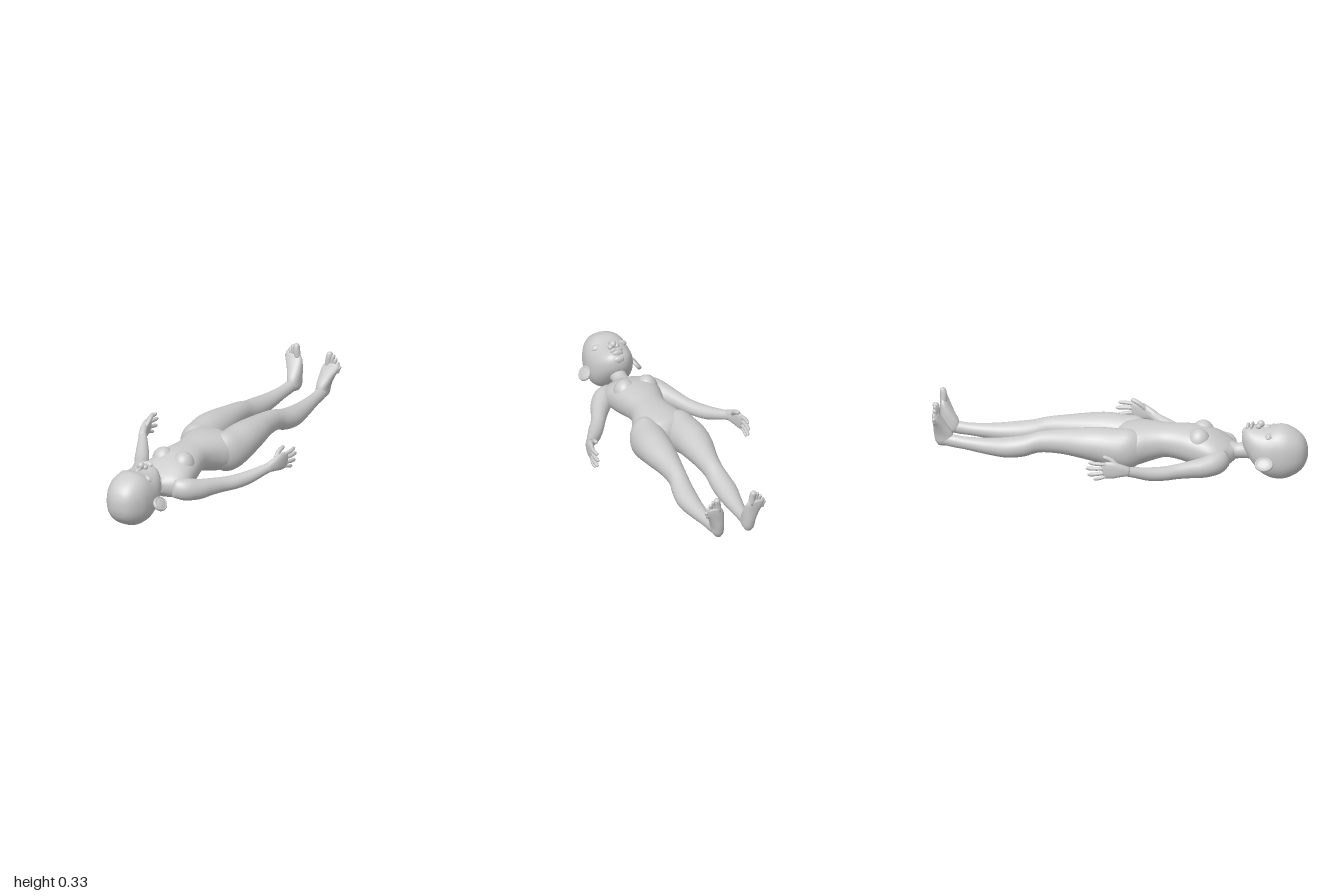
import * as THREE from 'three';

const material = new THREE.MeshStandardMaterial({ color: 0xcccccc });
const Y = new THREE.Vector3(0, 1, 0);
const Z = new THREE.Vector3(0, 0, 1);

// Smooth skin through rings [x, y, z, halfWidth, halfHeight]; n > 2 squares the rings.
// "axis" keeps all rings parallel, otherwise they follow the path.
function loft(rings, { up = Y, axis = null, n = 2, sides = 24, steps = 4, tip = 0.4 } = {}) {
  const path = new THREE.CatmullRomCurve3(rings.map(r => new THREE.Vector3(r[0], r[1], r[2])), false, 'catmullrom');
  const size = new THREE.CatmullRomCurve3(rings.map(r => new THREE.Vector3(r[3], r[4], 0)), false, 'catmullrom');
  const rows = (rings.length - 1) * steps;
  const pos = [], index = [];
  const bend = v => Math.sign(v) * Math.abs(v) ** (2 / n);
  const poles = [];
  for (let i = 0; i <= rows; i++) {
    const c = path.getPoint(i / rows), s = size.getPoint(i / rows);
    const t = axis ? axis.clone() : path.getTangent(i / rows);
    const side = up.clone().cross(t).normalize();
    const v = t.clone().cross(side).normalize();
    const w = Math.max(s.x, 0.002), h = Math.max(s.y, 0.002);
    for (let j = 0; j < sides; j++) {
      const a = (j / sides) * Math.PI * 2;
      const p = c.clone().addScaledVector(side, w * bend(Math.cos(a))).addScaledVector(v, h * bend(Math.sin(a)));
      pos.push(p.x, p.y, p.z);
      if (i < rows) {
        const A = i * sides + j, B = i * sides + (j + 1) % sides;
        index.push(A, B, A + sides, B, B + sides, A + sides);
      }
    }
    if (i === 0) poles.push(c.clone().addScaledVector(t, -tip * Math.min(w, h)));
    if (i === rows) poles.push(c.clone().addScaledVector(t, tip * Math.min(w, h)));
  }
  const start = (rows + 1) * sides;
  poles.forEach(p => pos.push(p.x, p.y, p.z));
  for (let j = 0; j < sides; j++) {
    const k = (j + 1) % sides;
    index.push(start, k, j, start + 1, rows * sides + j, rows * sides + k);
  }
  const g = new THREE.BufferGeometry();
  g.setAttribute('position', new THREE.Float32BufferAttribute(pos, 3));
  g.setIndex(index);
  g.computeVertexNormals();
  return g;
}

const blob = (x, y, z, rx, ry, rz) => new THREE.SphereGeometry(1, 24, 16).scale(rx, ry, rz).translate(x, y, z);

// Tapered finger or toe through three points
function digit(a, b, c, r, up = Y) {
  const mix = (p, q, k) => p.map((v, i) => v + (q[i] - v) * k);
  return loft([[...a, r, r], [...b, r, r], [...mix(b, c, 0.75), r * 0.92, r * 0.92], [...c, r * 0.5, r * 0.5]],
    { up, sides: 12, steps: 3 });
}

function mirrored(geometry) {
  const g = geometry.clone().scale(-1, 1, 1);
  const ix = g.index.array;
  for (let i = 0; i < ix.length; i += 3) [ix[i + 1], ix[i + 2]] = [ix[i + 2], ix[i + 1]];
  g.computeVertexNormals();
  return g;
}

export function createModel() {
  const model = new THREE.Group();
  model.name = 'lyingFigure';
  const add = (name, geometry) => {
    const mesh = new THREE.Mesh(geometry, material);
    mesh.name = name;
    model.add(mesh);
  };
  const pair = (name, geometry) => {
    add(name + 'Left', geometry);
    add(name + 'Right', mirrored(geometry));
  };

  // Head, from chin to crown
  add('head', loft([
    [0, 0.215, 0.65, 0.028, 0.025], [0, 0.213, 0.66, 0.053, 0.05], [0, 0.204, 0.68, 0.077, 0.075],
    [0, 0.184, 0.71, 0.098, 0.098], [0, 0.16, 0.75, 0.114, 0.12], [0, 0.147, 0.8, 0.121, 0.136],
    [0, 0.15, 0.85, 0.12, 0.146], [0, 0.15, 0.9, 0.113, 0.136], [0, 0.15, 0.95, 0.09, 0.107],
    [0, 0.15, 0.98, 0.062, 0.073], [0, 0.15, 0.995, 0.03, 0.035],
  ], { axis: Z, n: 2.35, sides: 36, tip: 0.15 }));

  // Face
  add('noseBridge', blob(0, 0.277, 0.772, 0.013, 0.016, 0.03));
  add('noseTip', blob(0, 0.296, 0.747, 0.018, 0.02, 0.02));
  pair('nostril', blob(0.018, 0.287, 0.738, 0.014, 0.014, 0.015));
  pair('upperLip', blob(0.013, 0.282, 0.7, 0.023, 0.017, 0.009));
  add('lowerLip', blob(0, 0.276, 0.678, 0.029, 0.02, 0.011));
  add('chin', blob(0, 0.247, 0.662, 0.03, 0.022, 0.015));
  pair('eyeball', blob(0.064, 0.255, 0.803, 0.032, 0.018, 0.018));
  pair('eyelid', new THREE.TorusGeometry(1, 0.12, 10, 28).rotateX(Math.PI / 2)
    .scale(0.033, 0.035, 0.02).rotateZ(-0.33).translate(0.064, 0.264, 0.803));

  // Ears, leaning out from the head
  const ear = g => g.rotateZ(0.7).translate(0.143, 0.124, 0.79);
  pair('ear', ear(blob(0, 0, 0, 0.012, 0.038, 0.045)));
  pair('earRim', ear(new THREE.TorusGeometry(1, 0.2, 10, 28).rotateY(Math.PI / 2).scale(0.05, 0.034, 0.042)));

  // Neck and torso
  add('neck', loft([
    [0, 0.15, 0.73, 0.05, 0.055], [0, 0.142, 0.66, 0.043, 0.044],
    [0, 0.135, 0.62, 0.045, 0.043], [0, 0.13, 0.57, 0.075, 0.055],
  ], { axis: Z.clone().negate() }));
  add('torso', loft([
    [0, 0.13, 0.615, 0.045, 0.038], [0, 0.125, 0.592, 0.085, 0.052], [0, 0.125, 0.56, 0.132, 0.072],
    [0, 0.137, 0.5, 0.147, 0.092], [0, 0.15, 0.43, 0.138, 0.1], [0, 0.16, 0.37, 0.127, 0.097],
    [0, 0.167, 0.3, 0.11, 0.09], [0, 0.168, 0.24, 0.104, 0.088], [0, 0.158, 0.17, 0.123, 0.1],
    [0, 0.145, 0.1, 0.154, 0.111], [0, 0.142, 0.04, 0.16, 0.104], [0, 0.145, 0, 0.11, 0.088],
    [0, 0.145, -0.03, 0.04, 0.05],
  ], { axis: Z.clone().negate(), n: 2.2, sides: 36 }));
  pair('breast', blob(0.062, 0.195, 0.425, 0.06, 0.072, 0.062));

  // Legs
  pair('leg', loft([
    [0.09, 0.143, 0.13, 0.045, 0.07], [0.095, 0.14, 0.07, 0.081, 0.106], [0.1, 0.14, 0, 0.096, 0.107],
    [0.106, 0.155, -0.1, 0.094, 0.095], [0.106, 0.16, -0.2, 0.084, 0.08],
    [0.102, 0.158, -0.31, 0.065, 0.066], [0.102, 0.147, -0.42, 0.052, 0.058],
    [0.108, 0.121, -0.5, 0.057, 0.058], [0.112, 0.106, -0.59, 0.058, 0.055],
    [0.106, 0.102, -0.7, 0.046, 0.044], [0.098, 0.107, -0.82, 0.033, 0.034],
    [0.094, 0.113, -0.89, 0.03, 0.034], [0.09, 0.12, -0.95, 0.028, 0.03],
  ], { axis: Z.clone().negate(), sides: 28 }));

  // Feet, pointing up with spread toes
  pair('foot', loft([
    [0.086, 0.085, -0.945, 0.017, 0.025], [0.087, 0.108, -0.938, 0.031, 0.046],
    [0.09, 0.15, -0.942, 0.035, 0.05], [0.1, 0.2, -0.958, 0.043, 0.036],
    [0.115, 0.245, -0.973, 0.05, 0.023], [0.124, 0.272, -0.98, 0.042, 0.015],
  ], { up: Z, axis: Y, n: 2.3 }));
  for (let i = 0; i < 5; i++) {
    const x = [0.106, 0.128, 0.143, 0.156, 0.167][i], y = [0.328, 0.318, 0.3, 0.281, 0.26][i];
    const bx = [0.094, 0.116, 0.13, 0.142, 0.152][i], by = [0.25, 0.258, 0.25, 0.24, 0.225][i];
    pair('toe' + (i + 1), digit([bx, by, -0.977], [(bx + x) / 2, (by + y) / 2 + 0.005, -0.977], [x, y, -0.983],
      i ? 0.0105 : 0.018, Z));
  }

  // Arms
  pair('arm', loft([
    [0.09, 0.12, 0.57, 0.035, 0.05], [0.14, 0.112, 0.535, 0.053, 0.06], [0.182, 0.1, 0.475, 0.052, 0.055],
    [0.215, 0.097, 0.41, 0.043, 0.047], [0.25, 0.093, 0.34, 0.038, 0.04], [0.285, 0.092, 0.28, 0.039, 0.038],
    [0.325, 0.1, 0.21, 0.035, 0.036], [0.366, 0.12, 0.14, 0.027, 0.029], [0.395, 0.135, 0.09, 0.021, 0.026],
    [0.405, 0.14, 0.06, 0.018, 0.026],
  ]));

  // Hands, palms facing inward
  pair('palm', loft([
    [0.388, 0.132, 0.11, 0.02, 0.024], [0.405, 0.14, 0.07, 0.021, 0.035], [0.417, 0.145, 0.03, 0.018, 0.046],
    [0.423, 0.145, -0.008, 0.014, 0.045], [0.425, 0.143, -0.025, 0.01, 0.035],
  ], { n: 2.4 }));
  const fingers = [[0.178, 0.183, -0.098], [0.156, 0.15, -0.112], [0.133, 0.114, -0.103], [0.112, 0.09, -0.07]];
  fingers.forEach(([y, tipY, tipZ], i) => pair('finger' + (i + 1), digit(
    [0.422, y, 0], [0.432, (y + tipY) / 2, tipZ / 2], [0.428, tipY, tipZ], i === 3 ? 0.009 : 0.0105)));
  pair('thumb', digit([0.405, 0.16, 0.055], [0.4, 0.193, 0.02], [0.405, 0.214, -0.025], 0.0125));

  return model;
}
